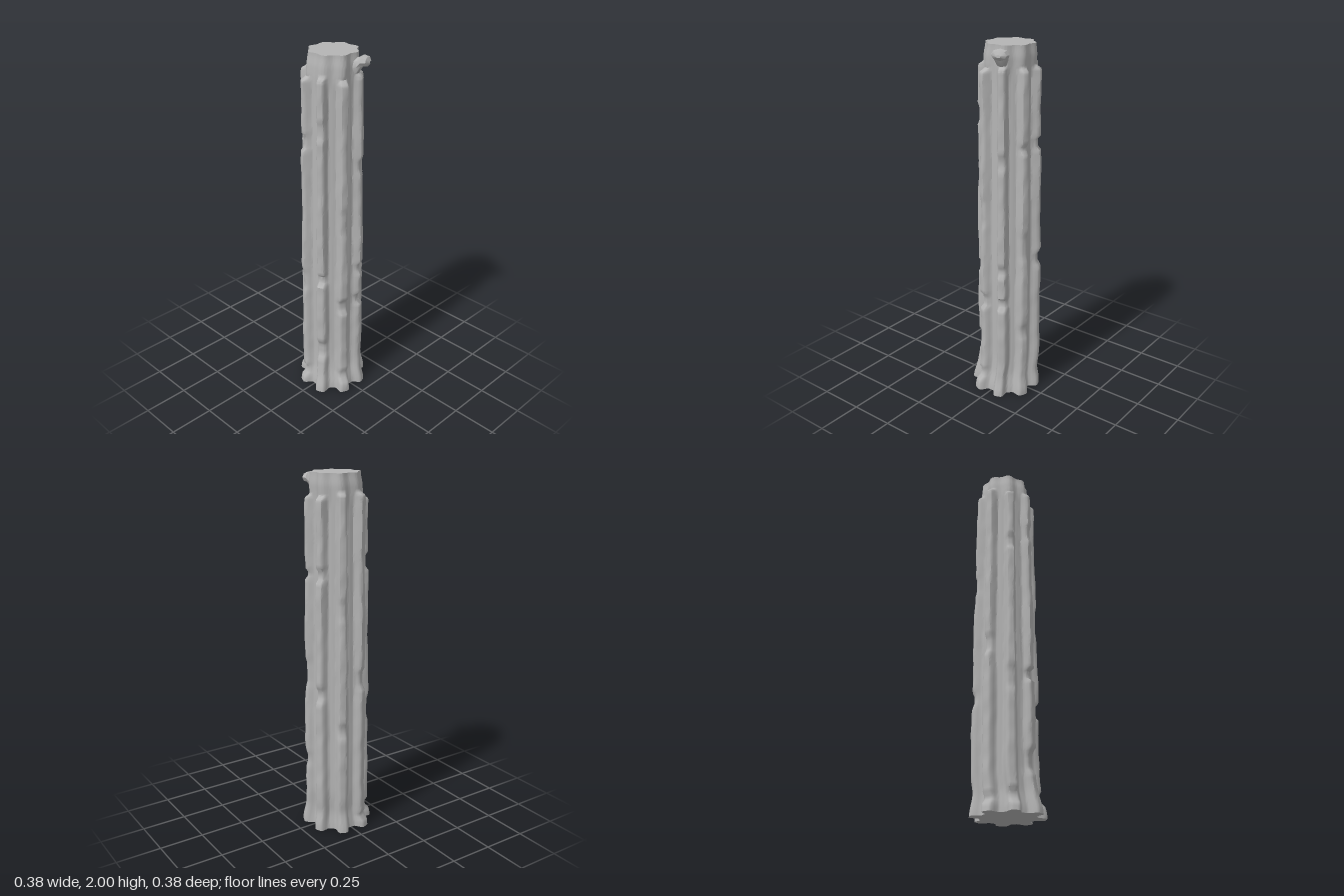
import * as THREE from 'three';
import { toCreasedNormals } from 'three/addons/utils/BufferGeometryUtils.js';

const SEG = 128, RIBS = 8, STEP = (Math.PI * 2) / RIBS;
const { lerp, smoothstep } = THREE.MathUtils;

// worn places on the ribs: [rib, centre height, half height, share of rib lost]
const CHIPS = [
  [0, 0.57, 0.05, 0.45], [0, 1.1, 0.1, 0.15], [0, 0.1, 0.04, 0.3],
  [1, 0.27, 0.07, 0.5], [1, 0.74, 0.04, 0.6], [1, 1.62, 0.06, 0.25],
  [2, 0.08, 0.04, 0.4], [2, 0.7, 0.08, 0.2], [2, 1.53, 0.05, 0.35],
  [3, 0.9, 0.06, 0.35], [3, 0.07, 0.03, 0.3], [4, 0.62, 0.05, 0.3],
  [4, 1.3, 0.07, 0.2], [5, 0.82, 0.05, 0.4], [5, 1.48, 0.04, 0.4],
  [6, 0.92, 0.1, 0.25], [6, 1.47, 0.03, 0.35], [6, 0.4, 0.05, 0.25],
  [7, 0.58, 0.04, 0.55], [7, 0.78, 0.03, 0.4], [7, 1.4, 0.05, 0.3],
];
const RIB_TOPS = [1.87, 1.89, 1.87, 1.9, 1.9, 1.88, 1.88, 1.89];

// gentle stone unevenness
const wobble = (y, k) => Math.sin(y * 11 + k * 2.3) * 0.5 + Math.sin(y * 29 + k * 5.1) * 0.3 + Math.sin(y * 53 + k) * 0.2;

// surface radius at angle a and height y
function radius(a, y) {
  const k = Math.floor(a / STEP) % RIBS;
  const off = Math.abs((a / STEP) % 1 - 0.5) * 2; // 0 on the rib, 1 in the flute
  const flare = 1 - smoothstep(y, 0.0, 0.13);
  const valley = lerp(0.134, 0.124, smoothstep(y, 0.6, 2)) + 0.014 * flare;
  const width = 0.04 * wobble(y, k + 3) + 0.07 * (1 - smoothstep(y, 0.6, 0.9));
  let rib = 1 - smoothstep(off, 0.2 + width, 0.64 + width);
  let keep = 1;
  for (const [r, cy, h, loss] of CHIPS)
    if (r === k) keep -= loss * (1 - smoothstep(Math.abs(y - cy), h * 0.5, h));
  keep *= 1 - smoothstep(y, RIB_TOPS[k] - 0.015, RIB_TOPS[k] + 0.02);
  const depth = 0.043 + 0.004 * wobble(y, k) + 0.006 * flare;
  const stub = 0.016 * (0.5 + 0.5 * Math.cos(off * Math.PI)) * smoothstep(y, 1.8, 1.9);
  const shoulder = 0.007 * smoothstep(y, 1.93, 2);
  return valley + Math.max(rib * depth * keep, stub) - shoulder;
}

// shaft centre leans slightly toward the back
function point(a, y, scale = 1) {
  const r = radius(a, y) * scale;
  const cx = lerp(0, -0.012, smoothstep(y, 0, 0.25));
  const cz = lerp(0.003, -0.008, smoothstep(y, 0, 0.25)) - 0.008 * smoothstep(y, 1.85, 2);
  return [cx + r * Math.cos(a), y, cz + r * Math.sin(a)];
}

function shaftGeometry() {
  const rows = [];
  for (let y = 0; y < 1.8; y += 0.02) rows.push(y);
  for (let y = 1.8; y < 1.995; y += 0.01) rows.push(y);
  rows.push(2);
  const pos = [], index = [];
  for (const y of rows)
    for (let i = 0; i < SEG; i++) pos.push(...point((i / SEG) * Math.PI * 2, y));
  for (let j = 0; j < rows.length - 1; j++)
    for (let i = 0; i < SEG; i++) {
      const n = (i + 1) % SEG, a = j * SEG + i, b = j * SEG + n;
      index.push(a, a + SEG, b, b, a + SEG, b + SEG);
    }
  const g = new THREE.BufferGeometry();
  g.setAttribute('position', new THREE.Float32BufferAttribute(pos, 3));
  g.setIndex(index);
  return toCreasedNormals(g, 0.9);
}

// flat end with the fluted outline
function capGeometry(y, up) {
  const pos = [...point(0, y, 0)], index = [];
  for (let i = 0; i < SEG; i++) {
    pos.push(...point((i / SEG) * Math.PI * 2, y));
    const a = i + 1, b = ((i + 1) % SEG) + 1;
    index.push(0, ...(up ? [b, a] : [a, b]));
  }
  const g = new THREE.BufferGeometry();
  g.setAttribute('position', new THREE.Float32BufferAttribute(pos, 3));
  g.setIndex(index);
  g.computeVertexNormals();
  return g;
}

// broken lump left clinging near the top
function lumpGeometry() {
  const sections = [
    // distance outward, half width, bottom, top
    [0.095, 0.028, 1.87, 1.97], [0.14, 0.034, 1.89, 1.975],
    [0.165, 0.048, 1.93, 1.99], [0.19, 0.04, 1.935, 1.985], [0.205, 0.012, 1.95, 1.965],
  ];
  const N = 8, pos = [], index = [];
  for (const [d, w, lo, hi] of sections)
    for (let i = 0; i < N; i++) {
      const t = (i / N) * Math.PI * 2;
      pos.push(d, (lo + hi) / 2 + Math.sin(t) * (hi - lo) / 2, Math.cos(t) * w);
    }
  for (let j = 0; j < sections.length - 1; j++)
    for (let i = 0; i < N; i++) {
      const a = j * N + i, b = j * N + (i + 1) % N;
      index.push(a, b, a + N, b, b + N, a + N);
    }
  const last = (sections.length - 1) * N;
  for (let i = 1; i < N - 1; i++) index.push(last, last + i + 1, last + i);
  // flip so that the faces point outward
  for (let i = 0; i < index.length; i += 3) [index[i + 1], index[i + 2]] = [index[i + 2], index[i + 1]];
  const g = new THREE.BufferGeometry();
  g.setAttribute('position', new THREE.Float32BufferAttribute(pos, 3));
  g.setIndex(index);
  return toCreasedNormals(g, 0.7);
}

export function createModel() {
  const group = new THREE.Group();
  group.name = 'flutedColumn';
  const stone = new THREE.MeshStandardMaterial({ color: 0xb4b4b4 });
  stone.name = 'grey stone';
  const add = (name, geometry) => {
    const mesh = new THREE.Mesh(geometry, stone);
    mesh.name = name;
    group.add(mesh);
    return mesh;
  };
  add('shaft', shaftGeometry());
  add('topFace', capGeometry(2, true));
  add('bottomFace', capGeometry(0, false));
  const lump = add('brokenLump', lumpGeometry());
  lump.position.set(-0.01, 0, -0.005);
  lump.rotation.y = Math.PI / 8;
  return group;
}
